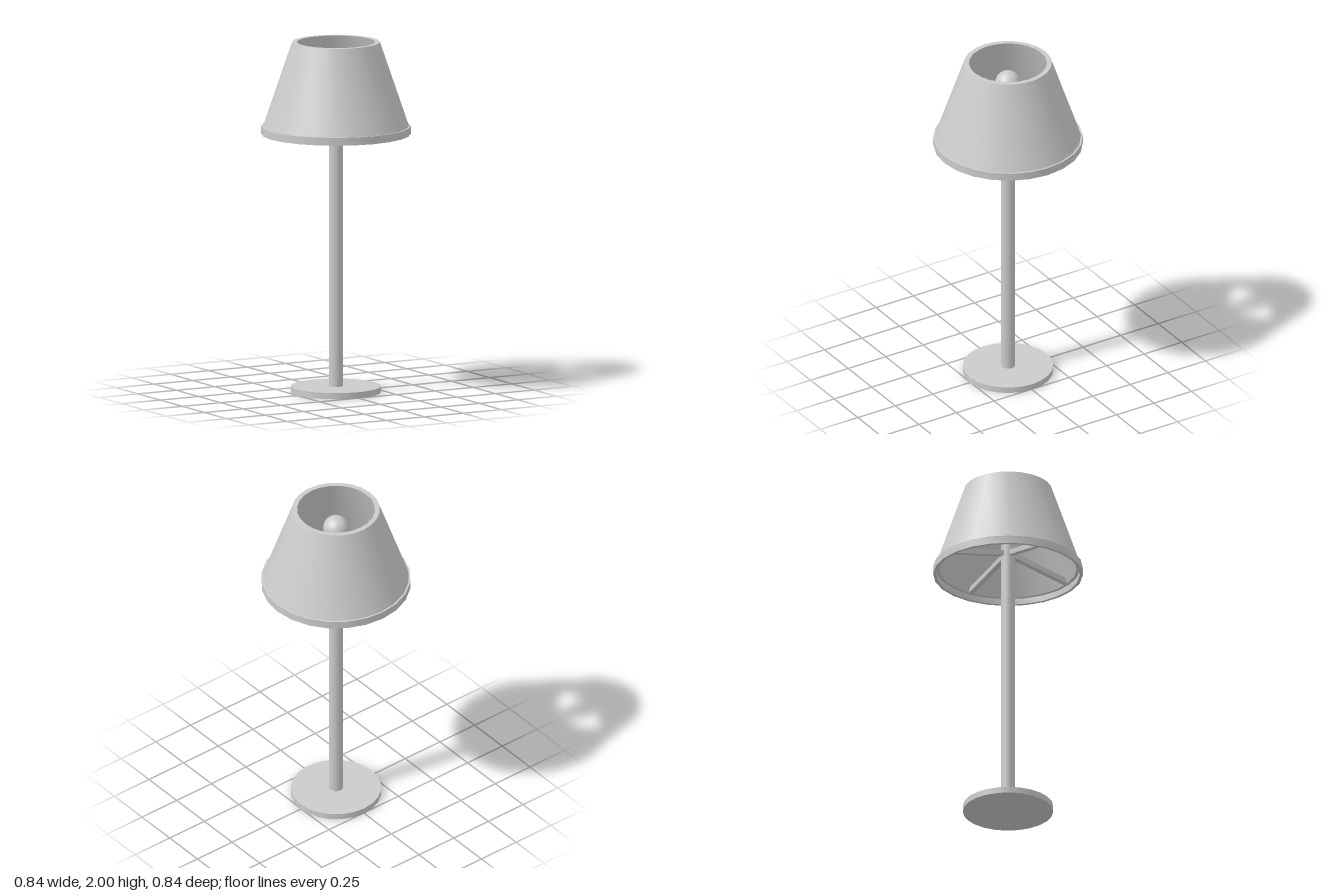
import * as THREE from 'three';
import { toCreasedNormals } from 'three/addons/utils/BufferGeometryUtils.js';

const SIDES = 24;
const grey = new THREE.MeshStandardMaterial({ color: 0xcccccc });

export function createModel() {
  const lamp = new THREE.Group();
  lamp.name = 'tableLamp';

  const add = (name, geometry, y = 0, parent = lamp) => {
    const mesh = new THREE.Mesh(geometry, grey);
    mesh.name = name;
    mesh.position.y = y;
    parent.add(mesh);
    return mesh;
  };

  // Closed ring of revolution; the profile runs counter-clockwise in (radius, height)
  const ring = (profile) => {
    const points = [...profile, profile[0]].map(([r, y]) => new THREE.Vector2(r, y));
    return toCreasedNormals(new THREE.LatheGeometry(points, SIDES), 0.6);
  };

  // Flat round foot and the stem up to the bulb
  const baseHeight = 0.035;
  add('base', new THREE.CylinderGeometry(0.255, 0.255, baseHeight, SIDES), baseHeight / 2);
  const poleTop = 1.82;
  add('pole', new THREE.CylinderGeometry(0.04, 0.04, poleTop - baseHeight, 16), (poleTop + baseHeight) / 2);

  // Bulb on top of the stem
  add('bulb', new THREE.SphereGeometry(0.073, 20, 14), 1.87);

  // Hollow tapered shade, open at both ends
  add('shade', ring([[0.388, 1.51], [0.415, 1.51], [0.248, 2], [0.22, 2]]));

  // Thin band around the bottom of the shade
  add('shadeRim', ring([[0.405, 1.475], [0.422, 1.475], [0.422, 1.52], [0.405, 1.52]]));

  // Four struts sloping down from the stem to the shade
  const struts = new THREE.Group();
  struts.name = 'struts';
  struts.rotation.y = 0.017;
  lamp.add(struts);
  const inner = new THREE.Vector2(0.02, 1.6);
  const outer = new THREE.Vector2(0.395, 1.522);
  const span = outer.clone().sub(inner);
  for (let i = 0; i < 4; i++) {
    const arm = new THREE.Group();
    arm.name = 'strutArm';
    arm.rotation.y = (i * Math.PI) / 2;
    struts.add(arm);
    const strut = add('strut', new THREE.BoxGeometry(span.length(), 0.03, 0.03), 0, arm);
    strut.position.set((inner.x + outer.x) / 2, (inner.y + outer.y) / 2, 0);
    strut.rotation.z = Math.atan2(span.y, span.x);
  }

  return lamp;
}
